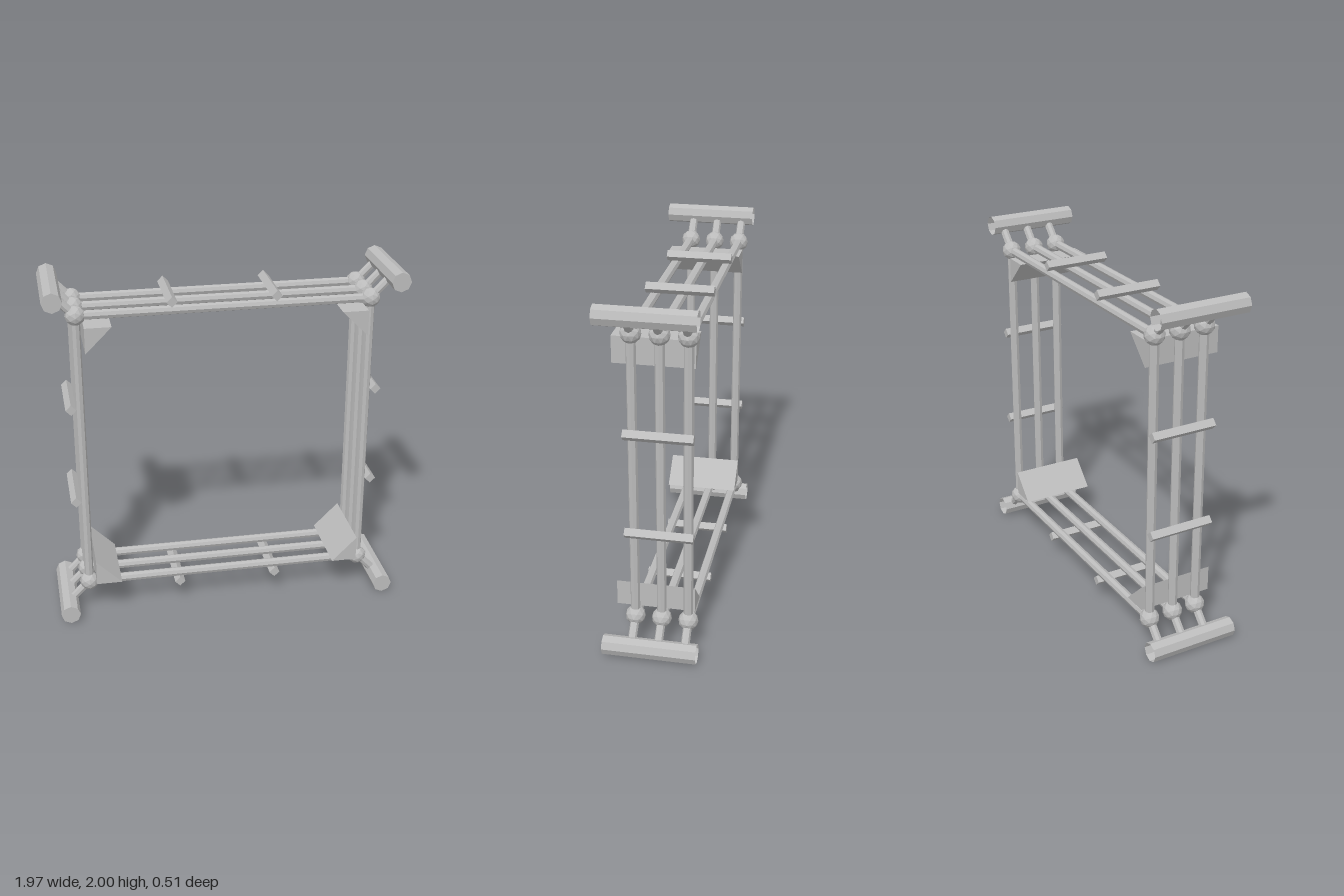
import * as THREE from 'three';

const grey = new THREE.MeshStandardMaterial({ color: 0xbcbcbc, flatShading: true, side: THREE.DoubleSide });
grey.name = 'matte grey';

const CY = 1, HX = 0.807, HY = 0.818;
const ROWS = [0.103, -0.042, -0.188];

function add(parent, name, geometry) {
  const mesh = new THREE.Mesh(geometry, grey);
  mesh.name = name;
  parent.add(mesh);
  return mesh;
}

// Straight prism between two points
function bar(parent, name, a, b, radius, sides, open = false) {
  const from = new THREE.Vector3(...a), to = new THREE.Vector3(...b);
  const dir = to.clone().sub(from);
  const mesh = add(parent, name, new THREE.CylinderGeometry(radius, radius, dir.length(), sides, 1, open));
  mesh.position.copy(from).add(to).multiplyScalar(0.5);
  mesh.quaternion.setFromUnitVectors(new THREE.Vector3(0, 1, 0), dir.normalize());
  return mesh;
}

export function createModel() {
  const model = new THREE.Group();
  model.name = 'squareTrussFrame';

  // Three parallel square frames of rails
  for (const z of ROWS) {
    for (const s of [-1, 1]) {
      bar(model, 'horizontalRail', [-HX, CY + s * HY, z], [HX, CY + s * HY, z], 0.026, 8);
      bar(model, 'verticalRail', [s * HX, CY - HY, z], [s * HX, CY + HY, z], 0.026, 8);
    }
  }

  // Cross bars tying the rails together outside each side
  const crossBar = (x, y) => bar(model, 'crossBar', [x, y, -0.224], [x, y, 0.143], 0.03, 4);
  for (const x of [-0.295, 0.275]) crossBar(x, 1.872);
  for (const x of [-0.277, 0.292]) crossBar(x, 0.137);
  for (const [x, top, low] of [[-0.858, 1.29, 0.722], [0.854, 1.285, 0.717]]) {
    crossBar(x, top);
    crossBar(x, low);
  }

  // Corners: ball joints, diagonal struts, end tube and triangular brace
  for (const sx of [-1, 1]) {
    for (const sy of [-1, 1]) {
      const corner = new THREE.Group();
      corner.name = 'corner';
      model.add(corner);
      const tx = sx * 0.93, ty = CY + sy * 0.945;

      for (const z of ROWS) {
        add(corner, 'ballJoint', new THREE.IcosahedronGeometry(0.055, 1))
          .position.set(sx * HX, CY + sy * HY, z);
        bar(corner, 'strut', [sx * HX, CY + sy * HY, z], [tx, ty, z], 0.024, 8);
      }

      // End tube, capped at the front and open at the back
      bar(corner, 'endTube', [tx, ty, -0.257], [tx, ty, 0.257], 0.055, 8, true);
      add(corner, 'endTubeCap', new THREE.CircleGeometry(0.055, 8)).position.set(tx, ty, 0.257);

      const bx = sx * 0.77, by = CY + sy * 0.782;
      const triangle = new THREE.Shape([
        new THREE.Vector2(bx, by),
        new THREE.Vector2(bx - sx * 0.145, by),
        new THREE.Vector2(bx, by - sy * 0.145),
      ]);
      add(corner, 'cornerBrace', new THREE.ExtrudeGeometry(triangle, { depth: 0.43, bevelEnabled: false }))
        .position.z = -0.217;
    }
  }
  return model;
}
